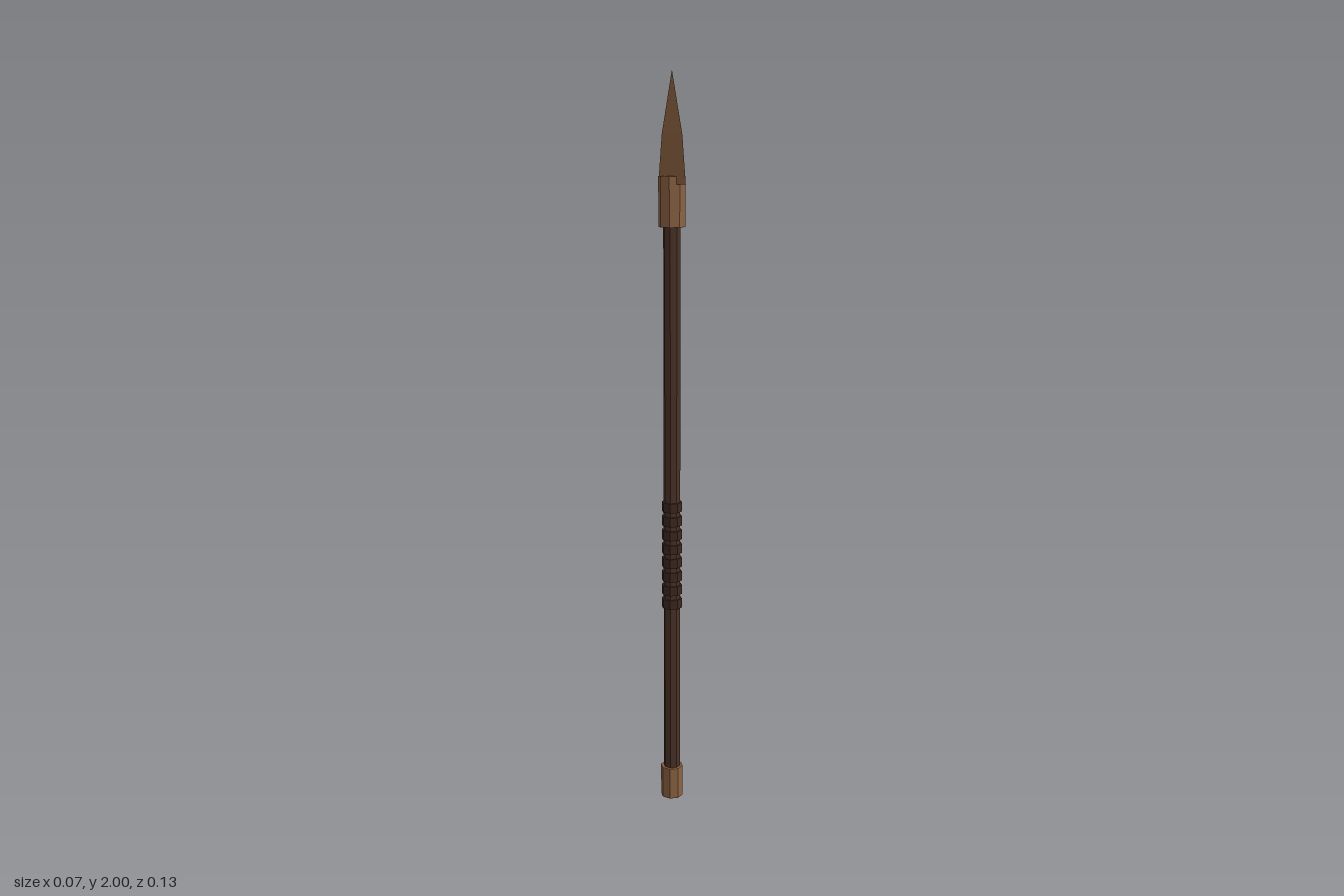
import * as THREE from 'three';

const material = (color) => new THREE.MeshStandardMaterial({ color, flatShading: true });

// Diamond cross-sections [y, half thickness x, half width z] joined up to a pointed tip
function bladeGeometry(sections, tipY) {
  const positions = [];
  const index = [];
  for (const [y, x, z] of sections) positions.push(x, y, 0, 0, y, -z, -x, y, 0, 0, y, z);
  const tip = positions.length / 3;
  positions.push(0, tipY, 0);
  const last = sections.length - 1;
  for (let s = 0; s <= last; s++) {
    for (let i = 0; i < 4; i++) {
      const a = s * 4 + i;
      const b = s * 4 + (i + 1) % 4;
      if (s < last) index.push(a, b, b + 4, a, b + 4, a + 4);
      else index.push(a, b, tip);
    }
  }
  index.push(0, 2, 1, 0, 3, 2); // flat underside
  const geometry = new THREE.BufferGeometry();
  geometry.setAttribute('position', new THREE.Float32BufferAttribute(positions, 3));
  geometry.setIndex(index);
  const flat = geometry.toNonIndexed();
  flat.computeVertexNormals();
  return flat;
}

export function createModel() {
  const model = new THREE.Group();
  model.name = 'spear';
  const wood = material(0x4a3228);
  const leather = material(0x3c2820);
  const bronze = material(0x8c6242);

  // Eight-sided straight part between two heights
  function addRod(name, radius, y0, y1, mat, parent = model) {
    const mesh = new THREE.Mesh(new THREE.CylinderGeometry(radius, radius, y1 - y0, 8), mat);
    mesh.position.y = (y0 + y1) / 2;
    mesh.name = name;
    parent.add(mesh);
  }

  addRod('shaft', 0.023, 0.02, 1.68, wood);
  addRod('buttCap', 0.031, 0, 0.09, bronze);
  addRod('socket', 0.036, 1.605, 1.735, bronze);

  // Wrapped grip: eight bands around the middle of the shaft
  const grip = new THREE.Group();
  grip.name = 'grip';
  for (let i = 0; i < 8; i++) {
    const y = 0.577 + i * 0.0393;
    addRod('gripBand', 0.028, y - 0.013, y + 0.013, leather, grip);
  }
  model.add(grip);

  // Leaf-shaped blade, broad along z and thin along x
  const blade = new THREE.Mesh(
    bladeGeometry([[1.715, 0.017, 0.063], [1.84, 0.012, 0.047]], 2),
    bronze
  );
  blade.name = 'blade';
  model.add(blade);

  return model;
}
